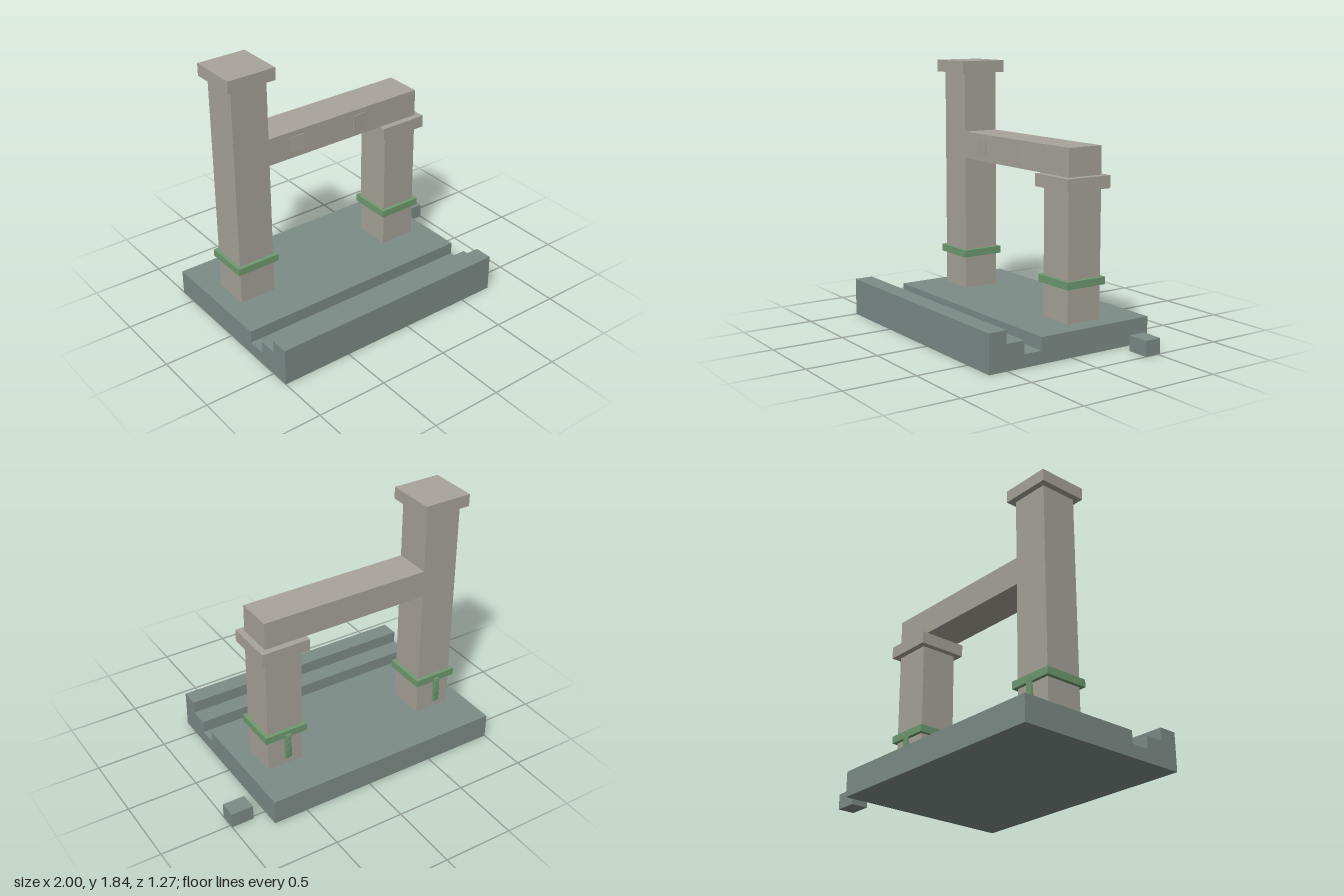
import * as THREE from 'three';

const material = (name, color) => {
  const m = new THREE.MeshStandardMaterial({ color });
  m.name = name;
  return m;
};

export function createModel() {
  const model = new THREE.Group();
  model.name = 'brokenGateway';
  const slate = material('slate grey', 0x7d8c88);
  const stone = material('warm stone', 0xa8a49a);
  const moss = material('moss green', 0x6f9b70);

  // Box given by its lower and upper corners
  const block = (name, mat, [x0, y0, z0], [x1, y1, z1], parent = model) => {
    const mesh = new THREE.Mesh(new THREE.BoxGeometry(x1 - x0, y1 - y0, z1 - z0), mat);
    mesh.position.set((x0 + x1) / 2, (y0 + y1) / 2, (z0 + z1) / 2);
    mesh.name = name;
    parent.add(mesh);
    return mesh;
  };

  // Base slab with a channel and kerb along the front, extruded along x
  const profile = [
    [-0.635, 0], [0.635, 0], [0.635, 0.263], [0.505, 0.263], [0.505, 0.176],
    [0.372, 0.176], [0.372, 0.088], [0.24, 0.088], [0.24, 0.176], [-0.635, 0.176],
  ];
  const shape = new THREE.Shape(profile.map(([z, y]) => new THREE.Vector2(-z, y)));
  const slab = new THREE.ExtrudeGeometry(shape, { depth: 1.745, bevelEnabled: false });
  slab.rotateY(Math.PI / 2).translate(-1, 0, 0);
  const base = new THREE.Mesh(slab, slate);
  base.name = 'baseSlab';
  model.add(base);

  // Loose block beside the base
  block('looseBlock', slate, [0.842, 0, -0.52], [1, 0.106, -0.4]);

  // Twisted, slightly flared tie hanging behind a band
  const tieGeometry = () => {
    const g = new THREE.BoxGeometry(0.046, 0.186, 0.016, 1, 4, 1);
    const p = g.attributes.position;
    for (let i = 0; i < p.count; i++) {
      const t = 0.5 - p.getY(i) / 0.186;
      const a = 0.4 * (t - 0.5);
      const x = p.getX(i) * (0.9 + 0.2 * t);
      const z = p.getZ(i);
      p.setXYZ(i, x * Math.cos(a) + z * Math.sin(a), p.getY(i), z * Math.cos(a) - x * Math.sin(a));
    }
    const flat = g.toNonIndexed();
    flat.computeVertexNormals();
    return flat;
  };

  // Two square pillars with cap, band and tie
  const zc = -0.197, half = 0.132;
  const pillar = (name, x, top) => {
    const group = new THREE.Group();
    group.name = name;
    model.add(group);
    const ring = (part, mat, r, y0, y1) =>
      block(part, mat, [x - r, y0, zc - r], [x + r, y1, zc + r], group);
    ring('shaft', stone, half, 0.176, top);
    ring('cap', stone, 0.174, top, top + 0.085);
    ring('band', moss, 0.157, 0.413, 0.464);
    const tie = new THREE.Mesh(tieGeometry(), moss);
    tie.name = 'hangingTie';
    tie.position.set(x - 0.005, 0.343, -0.36);
    group.add(tie);
  };
  pillar('tallPillar', -0.738, 1.75);
  pillar('shortPillar', 0.482, 1.052);

  // Lintel resting on the short pillar
  block('lintel', stone, [-0.606, 1.139, zc - half], [0.614, 1.33, zc + half]);

  // Thin tilted plates on the lintel's front
  [[-0.39, 0.05], [0.133, -0.05]].forEach(([x, tilt]) => {
    const plate = block('lintelPlate', stone, [x - 0.058, 1.177, -0.069], [x + 0.058, 1.293, -0.06]);
    plate.rotation.y = -tilt;
  });

  return model;
}
